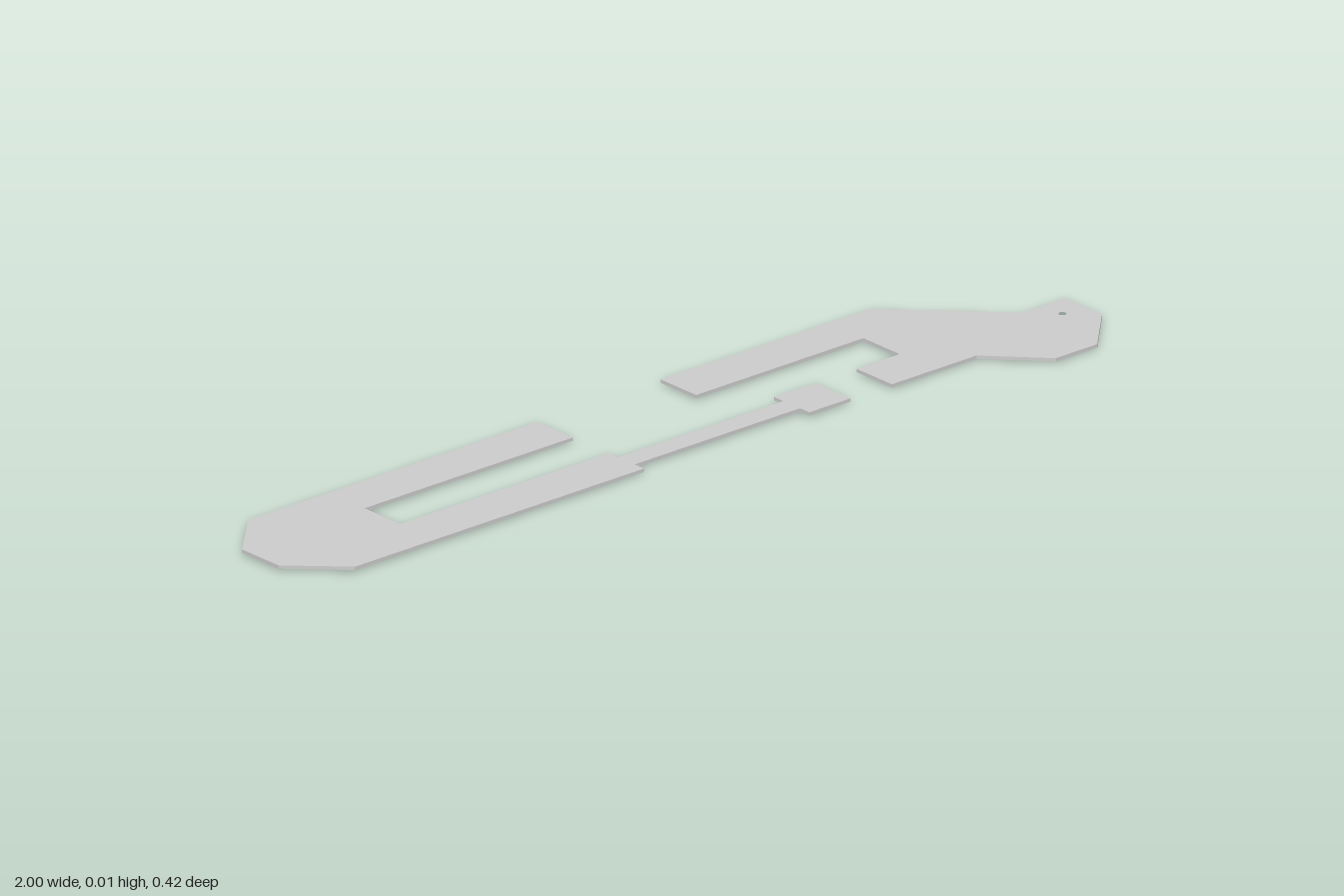
import * as THREE from 'three';

const BOTTOM = 0.004, TOP = 0.011;
const HOLE = { x: 0.945, z: 0.053, r: 0.008 };

// Flat plate from an outline of [x, z] points, with an optional round hole
function plate(name, outline, material, hole) {
  const shape = new THREE.Shape(outline.map(([x, z]) => new THREE.Vector2(x, -z)));
  if (hole) shape.holes.push(new THREE.Path().absarc(hole.x, -hole.z, hole.r, 0, Math.PI * 2, true));
  const geometry = new THREE.ExtrudeGeometry(shape, { depth: TOP - BOTTOM, bevelEnabled: false, curveSegments: 8 });
  geometry.rotateX(-Math.PI / 2).translate(0, BOTTOM, 0);
  const mesh = new THREE.Mesh(geometry, material);
  mesh.name = name;
  return mesh;
}

export function createModel() {
  const group = new THREE.Group();
  group.name = 'splitTracks';
  const grey = new THREE.MeshStandardMaterial({ color: 0xcccccc });

  // Forked plate whose front arm runs into a narrow neck and a square pad
  group.add(plate('forkedPlate', [
    [-0.895, -0.208], [-0.16, -0.208], [-0.16, -0.105], [-0.69, -0.105], [-0.69, -0.002],
    [-0.16, -0.002], [-0.16, 0.025], [0.26, 0.025], [0.26, -0.002], [0.365, -0.002],
    [0.365, 0.1], [0.26, 0.1], [0.26, 0.073], [-0.16, 0.073], [-0.16, 0.1],
    [-0.895, 0.1], [-1, -0.002], [-1, -0.107],
  ], grey));

  // Angled plate with two arms and a drilled corner
  group.add(plate('angledPlate', [
    [0.155, -0.21], [0.24, -0.21], [0.24, -0.208], [0.685, -0.208], [0.89, -0.002],
    [1, -0.002], [1, 0.105], [0.895, 0.21], [0.79, 0.21], [0.685, 0.1],
    [0.47, 0.1], [0.47, -0.002], [0.58, -0.002], [0.58, -0.107], [0.155, -0.107],
  ], grey, HOLE));

  // Thin sleeve lining the hole and showing below the plate
  const sleeve = new THREE.Mesh(
    new THREE.CylinderGeometry(HOLE.r, HOLE.r, BOTTOM, 16, 1, true),
    new THREE.MeshStandardMaterial({ color: 0xcccccc, side: THREE.DoubleSide }));
  sleeve.position.set(HOLE.x, BOTTOM / 2, HOLE.z);
  sleeve.name = 'holeSleeve';
  group.add(sleeve);

  return group;
}
